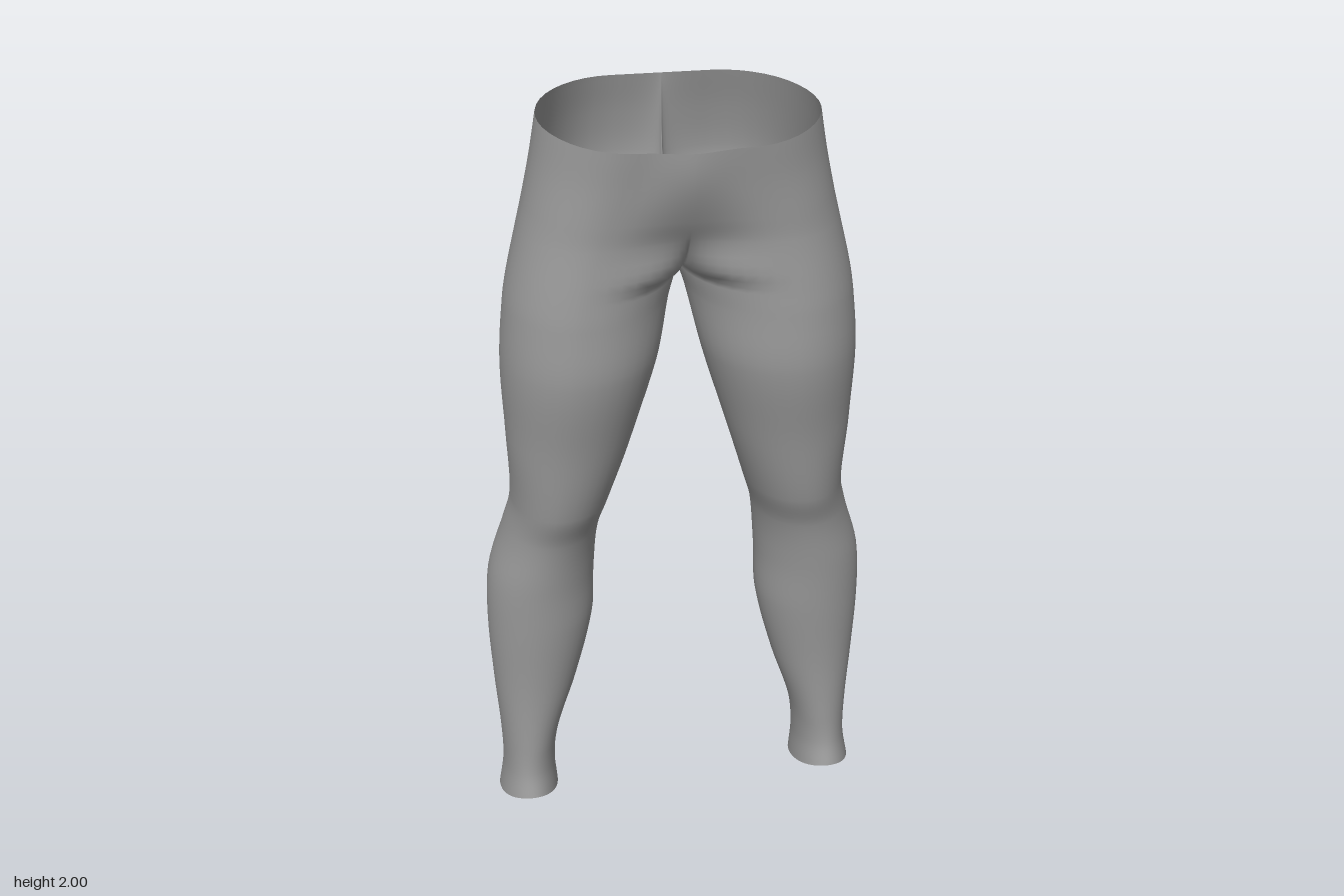
import * as THREE from 'three';
import { mergeVertices } from 'three/addons/utils/BufferGeometryUtils.js';

const { lerp, smoothstep, clamp } = THREE.MathUtils;

// Cross-sections of the left half, hem to waist:
// [y, inner x, outer x, front peak x, front z, back peak x, back z]
const SECTIONS = [
  [0.00, .340, .505, .42, .105, .42, -.130],
  [0.10, .345, .490, .42, .085, .42, -.130],
  [0.22, .332, .490, .41, .080, .41, -.137],
  [0.40, .275, .500, .39, .082, .39, -.157],
  [0.60, .226, .506, .37, .098, .37, -.182],
  [0.75, .218, .496, .36, .110, .36, -.184],
  [0.90, .203, .452, .33, .130, .33, -.152],
  [1.00, .175, .430, .31, .165, .30, -.122],
  [1.20, .115, .433, .28, .200, .27, -.140],
  [1.40, .055, .437, .26, .238, .24, -.160],
  [1.55, .020, .423, .25, .235, .20, -.183],
  [1.62, .000, .410, .24, .230, .18, -.212],
  [1.74, .000, .380, .21, .222, .15, -.256],
  [1.80, .000, .365, .19, .225, .14, -.262],
  [1.90, .000, .343, .15, .235, .13, -.247],
  [2.00, .000, .325, .12, .248, .12, -.222],
];
const CROTCH = 1.62, QUARTER = 10, STEPS = 6;

// Smooth interpolation through uneven section heights
function sectionAt(k, t) {
  const at = i => SECTIONS[clamp(i, 0, SECTIONS.length - 1)];
  const [p, a, b, n] = [at(k - 1), at(k), at(k + 1), at(k + 2)];
  const h = b[0] - a[0];
  return a.map((v, c) => {
    if (c === 0) return v + h * t;
    const ma = (b[c] - p[c]) / (b[0] - p[0]) * h;
    const mb = (n[c] - v) / (n[0] - a[0]) * h;
    return (2 * t ** 3 - 3 * t * t + 1) * v + (t ** 3 - 2 * t * t + t) * ma
      + (3 * t * t - 2 * t ** 3) * b[c] + (t ** 3 - t * t) * mb;
  });
}

// One row, running from the inner seam round the front, outside and back to the seam
function ring([y, innerX, xo, xf, zf, xb, zb]) {
  const xi = Math.max(0, innerX);
  const mid = lerp(-0.035, 0.035, smoothstep(y, 0.8, 1.2));
  // above the crotch the closed leg opens into a front and a back centre line
  const open = clamp((y - CROTCH) / (2 - CROTCH), 0, 1);
  const seam = lerp(mid, -0.02, smoothstep(y, 1.4, CROTCH));
  const seamF = seam + 0.282 * Math.sqrt(1 - (1 - open) ** 2);
  const seamB = seam - 0.202 * Math.sqrt(1 - (1 - open) ** 3);
  const flat = smoothstep(y, 1.66, 1.78);
  const points = [];
  for (let j = 0; j <= QUARTER * 4; j++) {
    const q = Math.min(Math.floor(j / QUARTER), 3);
    const a = (j / QUARTER - q) * Math.PI / 2, s = Math.sin(a), c = Math.cos(a);
    let x, z;
    if (q === 0) {
      const u = 1 - c;
      x = lerp(xi, xf, u);
      z = lerp(seamF, zf, lerp(s, u * u * (3 - 2 * u), flat));
    } else if (q === 1) {
      x = lerp(xf, xo, s);
      z = lerp(mid, zf, c);
    } else if (q === 2) {
      x = lerp(xb, xo, c);
      z = lerp(mid, zb, s);
    } else {
      x = lerp(xb, xi, s);
      z = lerp(seamB, zb, c);
    }
    // the hem rises at the front and the waist dips there
    const hem = Math.max(0, 1 - y / 0.2) * 0.06 * ((z + 0.13) / 0.235) ** 2;
    const dip = smoothstep(y, 1.8, 2) * 0.024 * (Math.max(z, 0) / 0.26) ** 2;
    points.push([x, y + hem - dip, z]);
  }
  return points;
}

function buildGarment() {
  const rows = [];
  for (let k = 0; k < SECTIONS.length - 1; k++)
    for (let s = 0; s < STEPS; s++) rows.push(ring(sectionAt(k, s / STEPS)));
  rows.push(ring(SECTIONS[SECTIONS.length - 1]));

  const positions = [], index = [], width = QUARTER * 4 + 1;
  for (const side of [1, -1]) {
    const base = positions.length / 3;
    for (const row of rows) for (const [x, y, z] of row) positions.push(side * x, y, z);
    for (let i = 0; i < rows.length - 1; i++) {
      for (let j = 0; j < width - 1; j++) {
        const a = base + i * width + j, b = a + 1, c = a + width, d = c + 1;
        if (side > 0) index.push(a, b, d, a, d, c);
        else index.push(a, d, b, a, c, d);
      }
    }
  }
  const geometry = new THREE.BufferGeometry();
  geometry.setAttribute('position', new THREE.Float32BufferAttribute(positions, 3));
  geometry.setIndex(index);
  // weld the leg seams and the centre seam so the shading is continuous
  const welded = mergeVertices(geometry, 1e-4);
  welded.computeVertexNormals();
  return welded;
}

export function createModel() {
  const group = new THREE.Group();
  group.name = 'leggings';
  const fabric = new THREE.MeshStandardMaterial({ color: 0x999999, side: THREE.DoubleSide });
  fabric.name = 'grey fabric';
  const garment = new THREE.Mesh(buildGarment(), fabric);
  garment.name = 'legsAndWaist';
  group.add(garment);
  return group;
}
